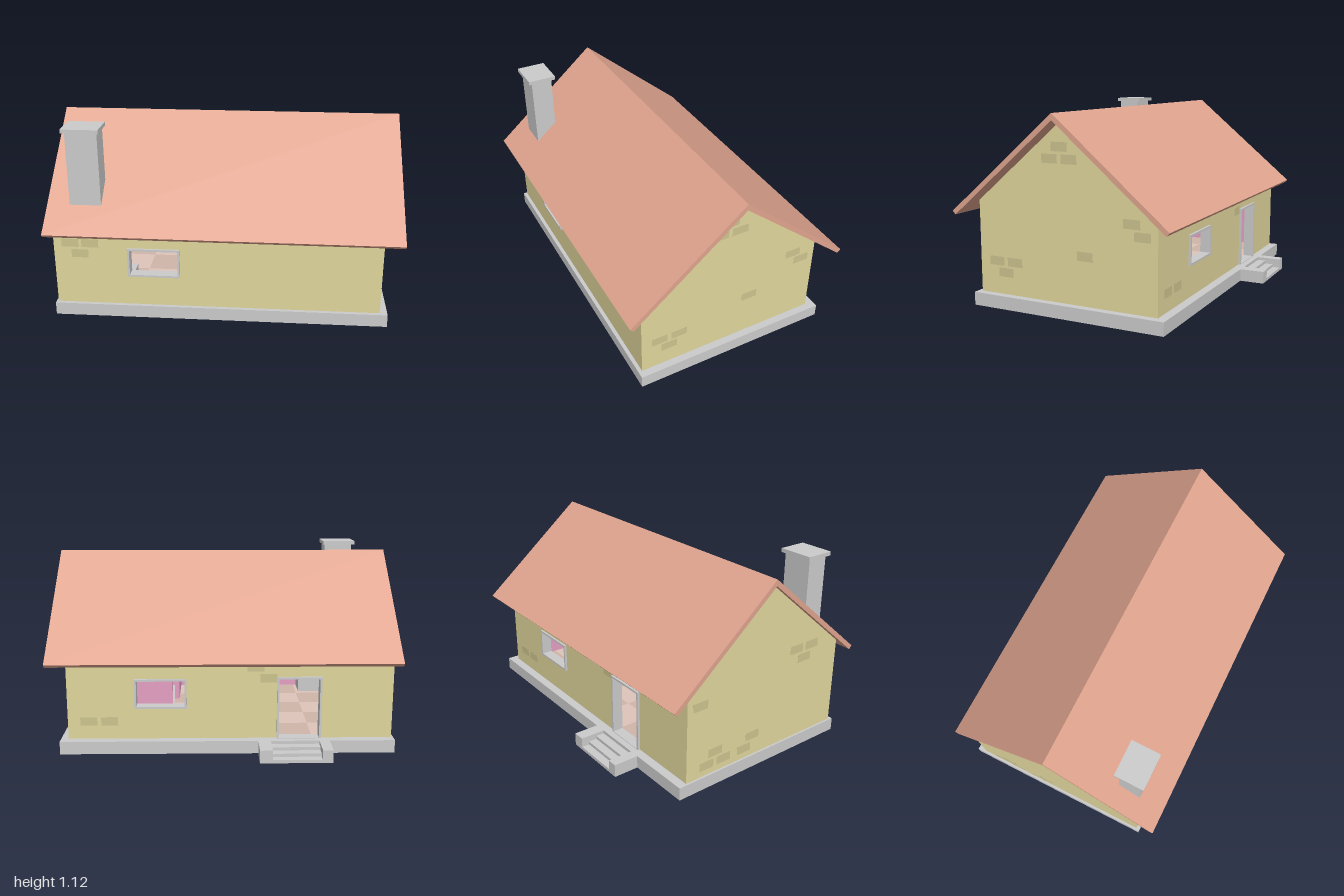
import * as THREE from 'three';

const mat = (color, side = THREE.FrontSide) => new THREE.MeshStandardMaterial({ color, side, flatShading: true });
const GREY = mat(0xcccccc), SHELL = mat(0xcccccc, THREE.DoubleSide), WALL = mat(0xe0d69c), BRICK = mat(0xcdc48f);
const ROOF = mat(0xe0a48e), PINK = mat(0xe4a0c2), TILE_A = mat(0xdfc5bb), TILE_B = mat(0xd0b5aa);

// Main dimensions of the house shell
const X0 = -0.97, X1 = 0.9, Z0 = -0.508, Z1 = 0.602, T = 0.045, BASE = 0.075, RIDGE = 0.047;

export function createModel() {
  const house = new THREE.Group();
  house.name = 'house';

  const add = (name, geometry, material, parent = house) => {
    const mesh = new THREE.Mesh(geometry, material);
    mesh.name = name;
    parent.add(mesh);
    return mesh;
  };
  const group = (name) => {
    const g = new THREE.Group();
    g.name = name;
    house.add(g);
    return g;
  };
  // Box given by its limits on each axis
  const box = (name, [xa, xb], [ya, yb], [za, zb], material, parent) => {
    const mesh = add(name, new THREE.BoxGeometry(xb - xa, yb - ya, zb - za), material, parent);
    mesh.position.set((xa + xb) / 2, (ya + yb) / 2, (za + zb) / 2);
    return mesh;
  };
  // Box open at the bottom, and at the top too if asked
  const shell = (name, xs, ys, zs, openTop, parent) => {
    const { geometry } = box(name, xs, ys, zs, SHELL, parent);
    const index = Array.from(geometry.index.array);
    geometry.setIndex(index.filter((_, i) => (i < 18 || i >= 24) && !(openTop && i >= 12 && i < 18)));
    geometry.clearGroups();
  };
  const rect = (xa, xb, ya, yb, Type = THREE.Shape) =>
    new Type([[xa, ya], [xb, ya], [xb, yb], [xa, yb]].map((p) => new THREE.Vector2(...p)));
  const plate = (outer, openings, depth) => {
    const shape = rect(...outer);
    openings.forEach((o) => shape.holes.push(rect(...o, THREE.Path)));
    return new THREE.ExtrudeGeometry(shape, { depth, bevelEnabled: false });
  };
  // Upright panel in the xy plane, with rectangular openings
  const panel = (name, outer, openings, z, depth, material, parent) => {
    add(name, plate(outer, openings, depth), material, parent).position.z = z;
  };
  // Profile of (z, y) points swept along x, ending at xEnd
  const sweepX = (name, points, xEnd, depth, material, parent) => {
    const shape = new THREE.Shape(points.map((p) => new THREE.Vector2(...p)));
    const geo = new THREE.ExtrudeGeometry(shape, { depth, bevelEnabled: false }).rotateY(-Math.PI / 2);
    add(name, geo, material, parent).position.x = xEnd;
  };

  // Foundation: hollow skirt with a ledge around the walls
  const foundation = group('foundation');
  const B = { x: [-0.982, 0.943], z: [-0.56, 0.624] };
  shell('foundationSkirt', B.x, [0, BASE], B.z, true, foundation);
  add('foundationLedge', plate([...B.x, -B.z[1], -B.z[0]], [[X0, X1, -Z1, -Z0]], 0.003).rotateX(-Math.PI / 2),
    GREY, foundation).position.y = BASE - 0.003;

  // Openings: front window, back window, back door
  const frontWin = [-0.545, -0.245, 0.258, 0.432];
  const backWin = [0.215, 0.515, 0.258, 0.432];
  const door = [-0.56, -0.303, BASE, 0.442];

  // Walls, lower edges just below the floor
  const walls = group('walls');
  const low = 0.045, eave = 0.6;
  panel('frontWall', [X0, X1, low, eave], [frontWin], Z1 - T, T, WALL, walls);
  panel('backWall', [X0, X1, low, eave], [backWin, door], Z0, T, WALL, walls);
  const gable = [[Z0, low], [Z1, low], [Z1, 0.6], [RIDGE, 1.065], [Z0, 0.6]];
  sweepX('leftGable', gable, X1, T, WALL, walls);
  sweepX('rightGable', gable, X0 + T, T, WALL, walls);

  // Coloured lining on the inside of the walls
  const lining = group('lining');
  const inX = [X0 + T, X1 - T], inZ = [Z0 + T, Z1 - T], L = 0.004;
  panel('frontLining', [...inX, BASE, 0.575], [frontWin], inZ[1] - L, L, PINK, lining);
  panel('backLining', [...inX, BASE - 0.005, 0.575], [backWin, door], inZ[0], L, PINK, lining);
  box('sideLining', [inX[0], inX[0] + L], [BASE, 0.575], inZ, PINK, lining);
  box('sideLining', [inX[1] - L, inX[1]], [BASE, 0.575], inZ, PINK, lining);

  // Frames lining the openings through the wall
  const frame = (name, [xa, xb, ya, yb], za, zb, sill) =>
    panel(name, [xa, xb, ya, yb], [[xa + 0.012, xb - 0.012, ya + sill, yb - 0.012]], za, zb - za, GREY);
  frame('frontWindowFrame', frontWin, Z1 - T - 0.006, Z1 + 0.013, 0.012);
  frame('backWindowFrame', backWin, Z0 - 0.013, Z0 + T + 0.006, 0.012);
  frame('doorFrame', door, Z0 - 0.014, Z0 + T + 0.006, 0.003);

  // Checkered floor, with a plain one in the small corner room
  const floor = group('floor');
  const roomX = 0.32, roomZ = -0.01, floorY = [0.069, 0.076];
  box('cornerRoomFloor', [roomX, inX[1]], floorY, [roomZ, inZ[1]], GREY, floor);
  const tiles = (xs, zs, cols, rows) => {
    const dx = (xs[1] - xs[0]) / cols, dz = (zs[1] - zs[0]) / rows;
    for (let i = 0; i < cols; i++) for (let j = 0; j < rows; j++) {
      const x = xs[0] + i * dx, z = zs[0] + j * dz;
      box('floorTile', [x, x + dx], floorY, [z, z + dz], (i + j) % 2 ? TILE_A : TILE_B, floor);
    }
  };
  tiles([inX[0], roomX], inZ, 6, 5);
  tiles([roomX, inX[1]], [inZ[0], roomZ], 3, 2);

  // Inner walls around the corner room, with a doorway
  const partitions = group('partitions');
  box('partitionFooting', [roomX, inX[1]], [low, 0.07], [roomZ - 0.03, roomZ], WALL, partitions);
  box('longPartition', [roomX, inX[1]], [0.07, 0.57], [roomZ - 0.03, roomZ], PINK, partitions);
  box('shortPartition', [roomX - 0.03, roomX], [low, 0.57], [0.235, inZ[1]], PINK, partitions);
  box('doorwayHead', [roomX - 0.03, roomX], [0.44, 0.57], [roomZ - 0.03, 0.235], PINK, partitions);

  box('ceiling', inX, [0.57, 0.59], inZ, GREY);

  // Pitched roof with overhanging eaves
  sweepX('roof', [[0.711, 0.545], [RIDGE, 1.102], [-0.617, 0.545], [-0.598, 0.526], [RIDGE, 1.065], [0.692, 0.526]], 1, 2, ROOF);

  // Chimney running down to a fireplace
  const chimney = group('chimney');
  box('chimneyStack', [-0.87, -0.69], [0.03, 1.097], [0.43, 0.56], GREY, chimney);
  box('chimneyCap', [-0.887, -0.678], [1.095, 1.118], [0.407, 0.58], GREY, chimney);
  box('fireplace', [-0.78, -0.53], [0.05, 0.23], [0.39, inZ[1]], GREY, chimney);

  // Back steps between two low side walls, hollow underneath
  const steps = group('steps');
  const treadX = [-0.546, -0.267], front = -0.71;
  shell('stepSide', [-0.605, treadX[0]], [0, BASE], [front, B.z[0]], false, steps);
  shell('stepSide', [treadX[1], -0.195], [0, BASE], [front, B.z[0]], false, steps);
  [B.z[0], -0.612, -0.663].forEach((z, i, list) =>
    shell('step', treadX, [0, 0.056 - i * 0.0185], [list[i + 1] ?? front, z], false, steps));

  // Exposed bricks: pairs are (position along the wall, height)
  const bricks = group('bricks');
  const W = 0.097, H = 0.05, D = 0.0006;
  const onZ = (z, list) => list.forEach(([x, y]) =>
    box('brick', [x - W / 2, x + W / 2], [y - H / 2, y + H / 2], [z - D, z + D], BRICK, bricks));
  const onX = (x, list) => list.forEach(([z, y]) =>
    box('brick', [x - D, x + D], [y - H / 2, y + H / 2], [z - W / 2, z + W / 2], BRICK, bricks));
  onZ(Z1, [[-0.875, 0.455], [-0.76, 0.455], [-0.82, 0.39]]);
  onZ(Z0, [[0.78, 0.18], [0.66, 0.18], [-0.18, 0.5], [-0.255, 0.435]]);
  onX(X1, [[0.071, 0.921], [0.132, 0.856], [0.012, 0.856], [-0.359, 0.546], [-0.42, 0.483],
    [-0.08, 0.346], [0.491, 0.263], [0.371, 0.263], [0.431, 0.2]]);
  onX(X0, [[0.27, 0.635], [0.39, 0.635], [0.335, 0.57], [-0.42, 0.51], [-0.37, 0.135],
    [-0.25, 0.135], [-0.31, 0.2], [-0.1, 0.135], [-0.04, 0.2]]);

  return house;
}
